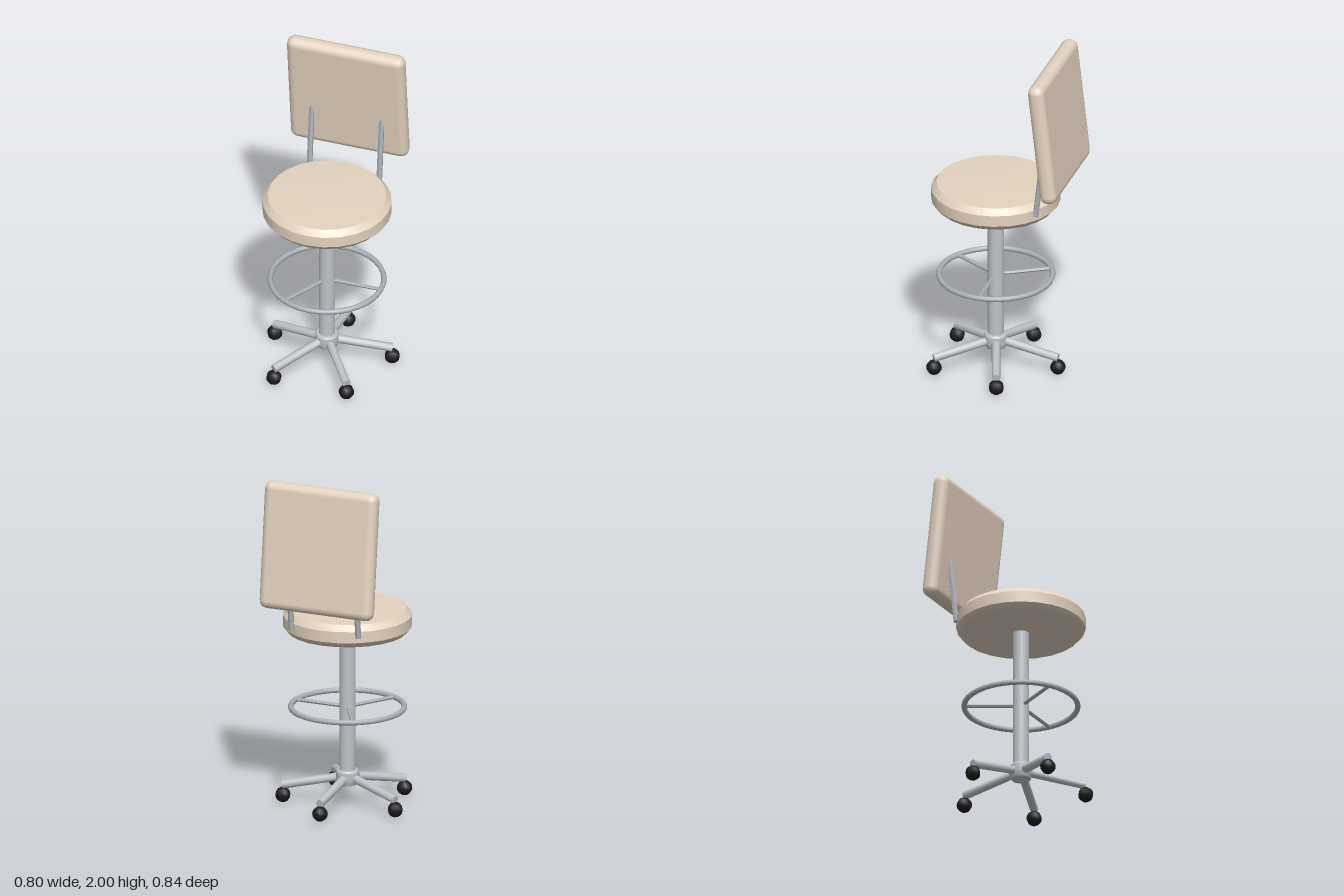
import * as THREE from 'three';
import { toCreasedNormals } from 'three/addons/utils/BufferGeometryUtils.js';
import { RoundedBoxGeometry } from 'three/addons/geometries/RoundedBoxGeometry.js';

const material = (name, color) => {
  const m = new THREE.MeshStandardMaterial({ color });
  m.name = name;
  return m;
};

export function createModel() {
  const upholstery = material('beige upholstery', 0xe4d3c0);
  const steel = material('light steel', 0xbfc3c9);
  const darkSteel = material('dark steel', 0xacb1b8);
  const rubber = material('black rubber', 0x1c1c1e);

  const chair = new THREE.Group();
  chair.name = 'swivelStool';
  const axisZ = 0.046; // the column stands slightly forward of the centre

  const add = (parent, name, geometry, mat) => {
    const mesh = new THREE.Mesh(geometry, mat);
    mesh.name = name;
    parent.add(mesh);
    return mesh;
  };
  const smoothLathe = (points, sides) =>
    new THREE.LatheGeometry(points.map(([r, y]) => new THREE.Vector2(r, y)), sides);
  const lathe = (points, sides) => toCreasedNormals(smoothLathe(points, sides), 0.45);
  // Straight round bar between two points
  const bar = (parent, name, from, to, radius, sides, mat) => {
    const a = new THREE.Vector3(...from);
    const d = new THREE.Vector3(...to).sub(a);
    const mesh = add(parent, name,
      toCreasedNormals(new THREE.CylinderGeometry(radius, radius, d.length(), sides), 0.9), mat);
    mesh.position.copy(a).addScaledVector(d, 0.5);
    mesh.quaternion.setFromUnitVectors(new THREE.Vector3(0, 1, 0), d.normalize());
    return mesh;
  };

  const pedestal = new THREE.Group();
  pedestal.name = 'pedestal';
  pedestal.position.z = axisZ;
  chair.add(pedestal);

  // Padded round seat: bevelled top with a very slight crown, softly shaded underside
  add(pedestal, 'seat', lathe([[0.373, 1.079], [0.373, 1.146], [0.342, 1.181],
    [0.17, 1.187], [0, 1.189]], 24), upholstery);
  add(pedestal, 'seatUnderside', smoothLathe([[0, 1.047], [0.345, 1.047], [0.373, 1.079]], 24), upholstery);

  // Column and hub
  bar(pedestal, 'column', [0, 0.15, 0], [0, 1.07, 0], 0.047, 20, steel);
  add(pedestal, 'hub', lathe([[0, 0.122], [0.056, 0.122], [0.068, 0.15],
    [0.068, 0.2], [0.06, 0.212], [0, 0.212]], 16), steel);

  // Foot ring on three spokes
  const ringY = 0.588;
  const ring = add(pedestal, 'footRing', new THREE.TorusGeometry(0.328, 0.016, 8, 36), darkSteel);
  ring.rotation.x = Math.PI / 2;
  ring.position.y = ringY;
  for (const degrees of [90, 210, 330]) {
    const a = THREE.MathUtils.degToRad(degrees);
    bar(pedestal, 'footRingSpoke', [0, ringY, 0],
      [Math.sin(a) * 0.328, ringY, Math.cos(a) * 0.328], 0.011, 6, darkSteel);
  }

  // Five sloping legs, each with a ball caster
  for (let i = 0; i < 5; i++) {
    const leg = new THREE.Group();
    leg.name = 'leg' + (i + 1);
    leg.rotation.y = (36 + 72 * i) * Math.PI / 180;
    pedestal.add(leg);
    bar(leg, 'legTube', [0, 0.171, 0.02], [0, 0.104, 0.376], 0.025, 8, steel);
    const caster = add(leg, 'caster', new THREE.SphereGeometry(0.045, 8, 8), rubber);
    caster.position.set(0, 0.045, 0.375);
    caster.rotation.y = Math.PI / 8;
  }

  // Backrest cushion, leaning forward at the top
  const back = add(chair, 'backrest', new RoundedBoxGeometry(0.714, 0.748, 0.1, 2, 0.047), upholstery);
  back.position.set(0, 1.628, -0.335);
  back.rotation.x = 0.112;

  // Two rods joining the seat rim to the backrest
  for (const side of [-1, 1]) {
    bar(chair, side > 0 ? 'leftBackRod' : 'rightBackRod',
      [side * 0.212, 1.11, -0.262], [side * 0.212, 1.56, -0.314], 0.017, 6, darkSteel);
  }
  return chair;
}
